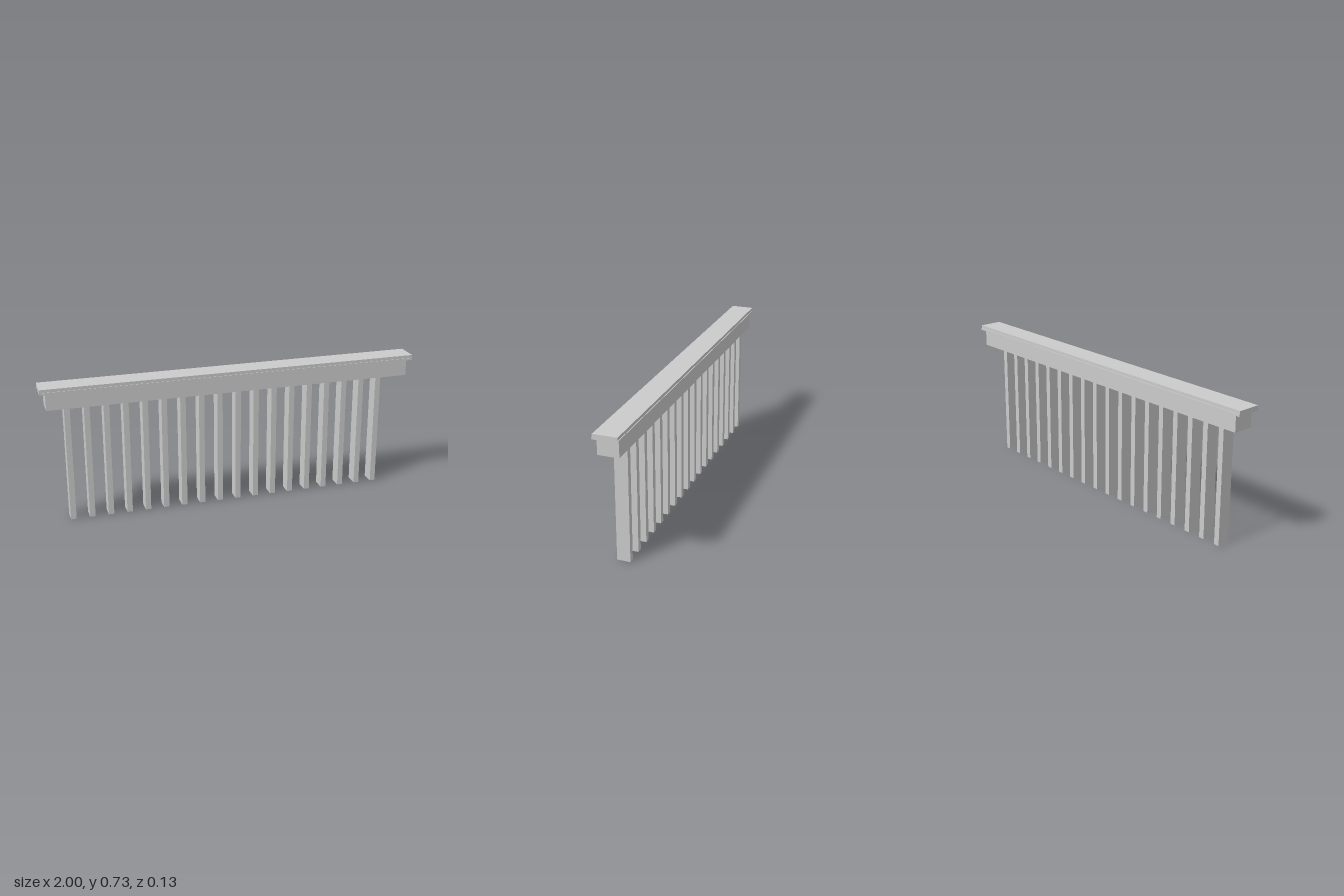
import * as THREE from 'three';

export function createModel() {
  const model = new THREE.Group();
  const solid = new THREE.MeshStandardMaterial({ color: 0xcccccc, flatShading: true });
  const shell = new THREE.MeshStandardMaterial({ color: 0xcccccc, flatShading: true, side: THREE.DoubleSide });

  // Box spanning the given y and z ranges, centred on x
  function bar(name, length, y0, y1, z0, z1) {
    const mesh = new THREE.Mesh(new THREE.BoxGeometry(length, y1 - y0, z1 - z0), solid);
    mesh.position.set(0, (y0 + y1) / 2, (z0 + z1) / 2);
    mesh.name = name;
    model.add(mesh);
  }

  // Beam and stepped cap
  bar('beam', 1.942, 0.614, 0.7, -0.053, 0.054);
  bar('capLedge', 2, 0.7, 0.711, -0.064, 0.065);
  bar('capTop', 2, 0.711, 0.727, -0.06, 0.062);

  // Row of hollow slats, open at the bottom
  const count = 18, first = -0.868, last = 0.816, height = 0.614;
  const tube = new THREE.CylinderGeometry(Math.SQRT1_2, Math.SQRT1_2, 1, 4, 1, true)
    .rotateY(Math.PI / 4)
    .scale(0.029, height, 0.069);
  const slats = new THREE.Group();
  slats.name = 'slats';
  for (let i = 0; i < count; i++) {
    const slat = new THREE.Mesh(tube, shell);
    slat.name = `slat${i + 1}`;
    slat.position.set(first + (last - first) * i / (count - 1), height / 2, 0.004);
    slats.add(slat);
  }
  model.add(slats);
  return model;
}
